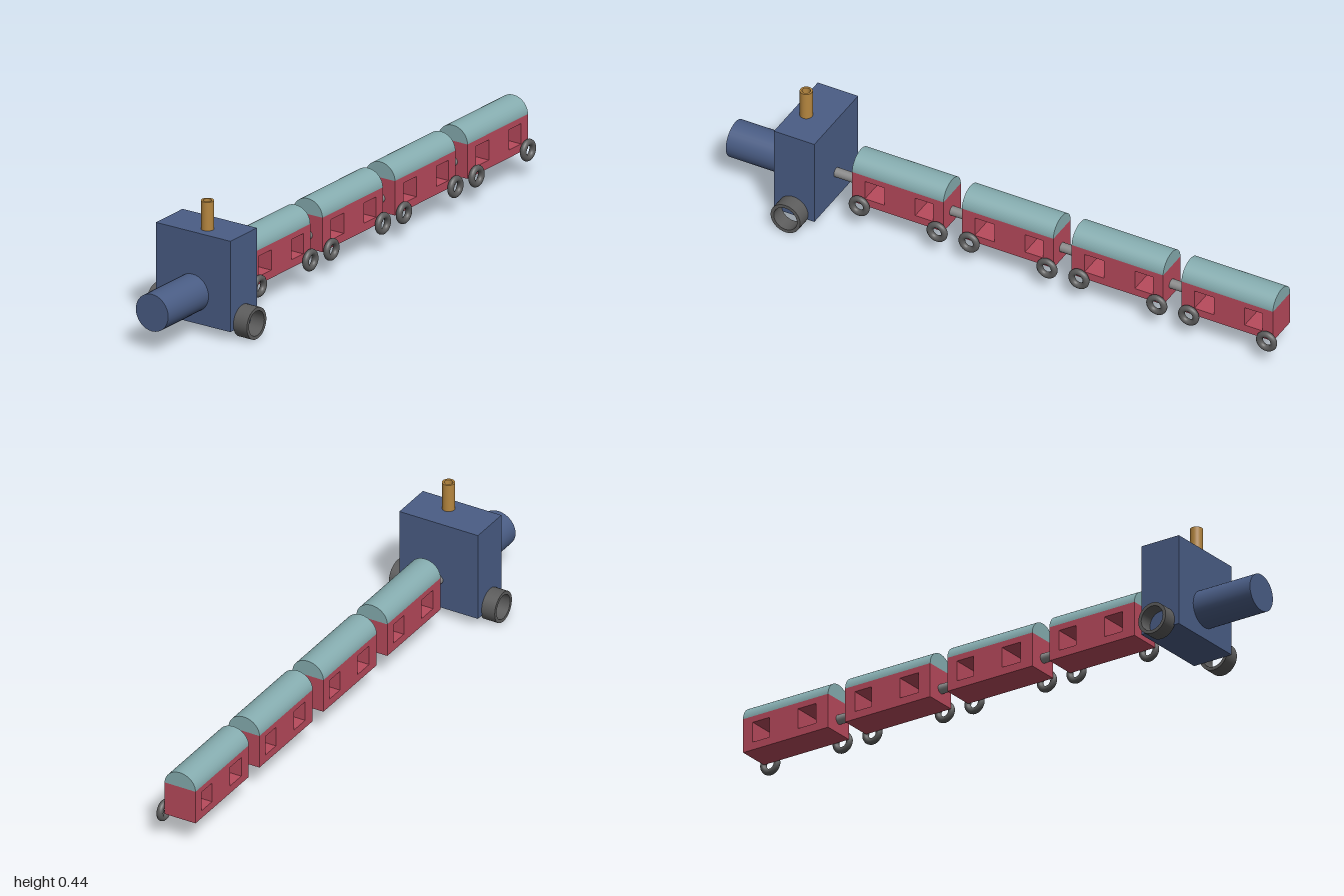
import * as THREE from 'three';

const mat = (color, side = THREE.FrontSide) => new THREE.MeshStandardMaterial({ color, side });
const BLUE = mat(0x4a5d85), RED = mat(0xb84a5c), TEAL = mat(0x86adb0);
const BRASS = mat(0xb5863f), DARK = mat(0x5c5c5c), GREY = mat(0x8a8a8a);

function add(parent, name, geometry, material, x = 0, y = 0, z = 0) {
  const mesh = new THREE.Mesh(geometry, material);
  mesh.name = name;
  mesh.position.set(x, y, z);
  parent.add(mesh);
  return mesh;
}

// Open pipe with wall thickness, centred on the origin along y
function pipe(outer, inner, length) {
  const h = length / 2;
  // Each corner is doubled so the rims stay sharp
  const corners = [[inner, -h], [outer, -h], [outer, h], [inner, h], [inner, -h]];
  const points = [];
  for (let i = 0; i < 4; i++) {
    const a = new THREE.Vector2(...corners[i]), b = new THREE.Vector2(...corners[i + 1]);
    points.push(a.clone().lerp(b, 0.002), a.clone().lerp(b, 0.998));
  }
  points.push(points[0].clone());
  return new THREE.LatheGeometry(points, 32);
}

// Car body side outline with two windows, extruded across the car's width
function bodyGeometry(length, height, width) {
  const side = new THREE.Shape();
  const l = length / 2;
  side.moveTo(-l, 0).lineTo(l, 0).lineTo(l, height).lineTo(-l, height).closePath();
  for (const [a, b] of [[-0.119, -0.048], [0.063, 0.128]]) {
    const hole = new THREE.Path();
    hole.moveTo(a, 0.027).lineTo(a, 0.096).lineTo(b, 0.096).lineTo(b, 0.027).closePath();
    side.holes.push(hole);
  }
  const g = new THREE.ExtrudeGeometry(side, { depth: width, bevelEnabled: false });
  return g.translate(0, 0, -width / 2).rotateY(Math.PI / 2);
}

// Arched roof, half-round cross-section along z
function roofGeometry(length, width, height) {
  const arch = new THREE.Shape();
  arch.absellipse(0, 0, width / 2, height, 0, Math.PI, false);
  arch.closePath();
  const g = new THREE.ExtrudeGeometry(arch, { depth: length, bevelEnabled: false, curveSegments: 20 });
  return g.translate(0, 0, -length / 2);
}

function createEngine() {
  const engine = new THREE.Group();
  engine.name = 'engine';
  add(engine, 'cab', new THREE.BoxGeometry(0.29, 0.309, 0.146), BLUE, -0.003, 0.1885, 0.706);
  const boiler = new THREE.CylinderGeometry(0.063, 0.063, 0.23, 32).rotateX(Math.PI / 2);
  add(engine, 'boiler', boiler, BLUE, -0.006, 0.136, 0.885);
  add(engine, 'chimney', pipe(0.021, 0.014, 0.1), BRASS, 0.018, 0.39, 0.73);
  const wheel = pipe(0.0535, 0.042, 0.053).rotateZ(Math.PI / 2);
  add(engine, 'leftEngineWheel', wheel, DARK, 0.168, 0.0535, 0.709);
  add(engine, 'rightEngineWheel', wheel, DARK, -0.17, 0.0535, 0.709);
  return engine;
}

function createCar() {
  const car = new THREE.Group();
  const length = 0.331, width = 0.114, x = -0.005;
  add(car, 'body', bodyGeometry(length, 0.117, width), RED, x, 0.088, 0);
  add(car, 'roof', roofGeometry(length, width, 0.053), TEAL, x, 0.205, 0);
  // Ring wheels on the left side only
  const ring = new THREE.TorusGeometry(0.0262, 0.0108, 12, 28).rotateY(Math.PI / 2);
  add(car, 'frontWheel', ring, DARK, 0.064, 0.09, 0.133);
  add(car, 'rearWheel', ring, DARK, 0.064, 0.09, -0.149);
  return car;
}

export function createModel() {
  const train = new THREE.Group();
  train.name = 'train';
  train.add(createEngine());

  // Four cars, each with a coupling rod ahead of it
  let previousEnd = 0.633;
  for (let i = 0; i < 4; i++) {
    const z = 0.38 - 0.3975 * i;
    const car = createCar();
    car.name = 'car' + (i + 1);
    car.position.z = z;
    train.add(car);
    const front = z + 0.1655;
    const rod = new THREE.CylinderGeometry(0.016, 0.016, previousEnd - front + 0.004, 20).rotateX(Math.PI / 2);
    add(train, 'coupling' + (i + 1), rod, GREY, -0.003, 0.136, (previousEnd + front) / 2);
    previousEnd = z - 0.1655;
  }
  return train;
}
